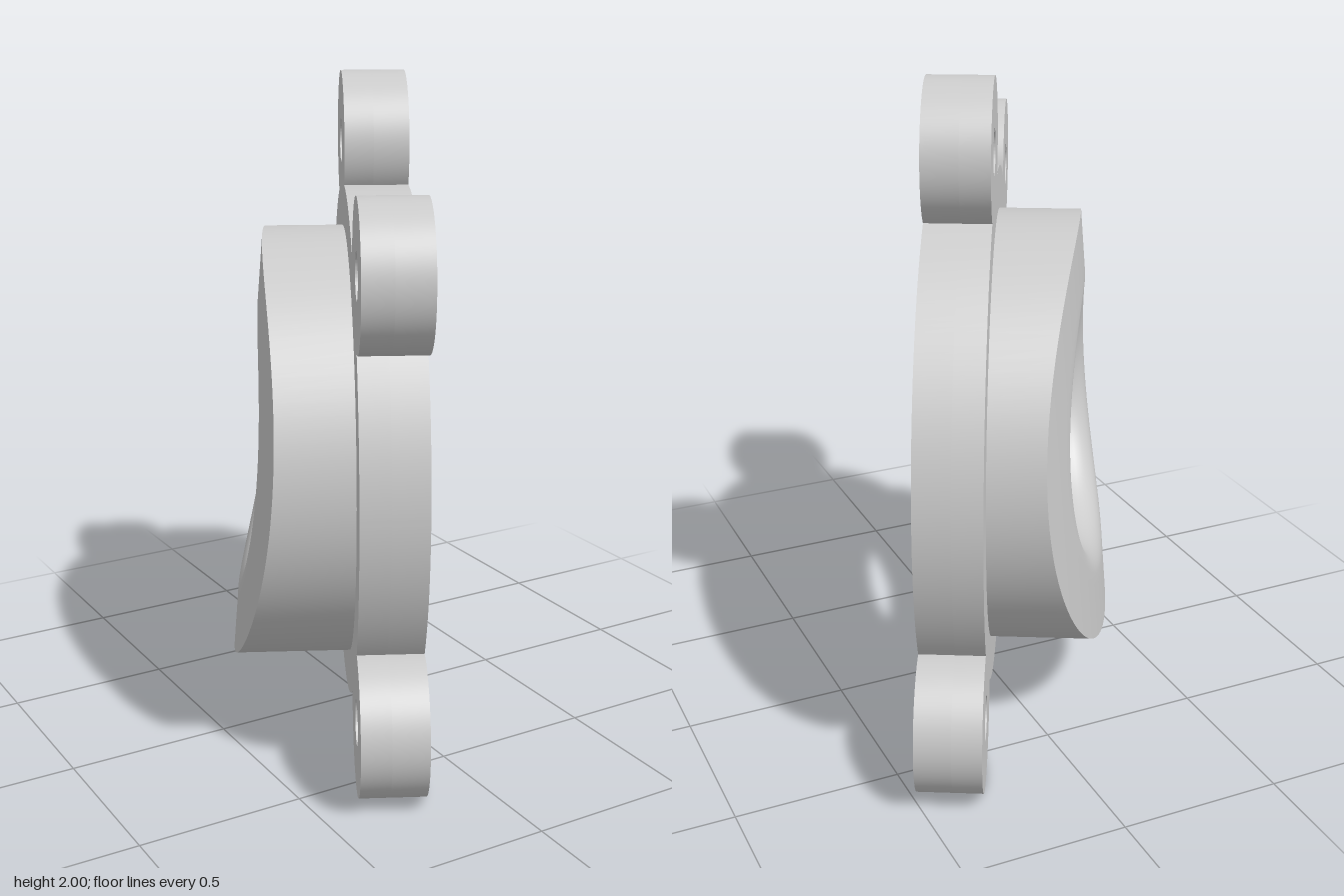
import * as THREE from 'three';
import { toCreasedNormals } from 'three/addons/utils/BufferGeometryUtils.js';

const RING_R = 0.798, LUG_R = 0.2145, BORE_R = 0.367, RECESS_R = 0.68, BOSS_R = 0.667;
const BACK = -0.048, FLOOR = 0.04, FRONT = 0.147; // depths along the flange axis
const LUGS = [[0.183, 0.911], [-0.655, 0.656], [-0.655, -0.662], [0.655, -0.662]];

const material = new THREE.MeshStandardMaterial({ color: 0xcccccc });

function mesh(name, geometry) {
  const m = new THREE.Mesh(toCreasedNormals(geometry, 0.5), material);
  m.name = name;
  return m;
}

// Round flange outline merged with the four lugs
function outline() {
  const s = new THREE.Shape();
  const lugs = LUGS.map(([x, y]) => {
    const D = Math.hypot(x, y);
    const half = Math.acos((RING_R ** 2 + D ** 2 - LUG_R ** 2) / (2 * RING_R * D));
    let angle = Math.atan2(y, x);
    if (angle < 0) angle += 2 * Math.PI;
    return { x, y, angle, half };
  });
  lugs.forEach((l, i) => {
    const a0 = l.angle - l.half, a1 = l.angle + l.half;
    const start = Math.atan2(RING_R * Math.sin(a0) - l.y, RING_R * Math.cos(a0) - l.x);
    const end = Math.atan2(RING_R * Math.sin(a1) - l.y, RING_R * Math.cos(a1) - l.x);
    s.absarc(l.x, l.y, LUG_R, start, end, false);
    const next = lugs[(i + 1) % lugs.length];
    s.absarc(0, 0, RING_R, a1, next.angle - next.half, false);
  });
  return s;
}

function circleHole(x, y, r) {
  return new THREE.Path().absarc(x, y, r, 0, Math.PI * 2, true);
}

function hexHole(x, y, r) {
  const pts = [];
  for (let i = 0; i < 6; i++) {
    const a = -i * Math.PI / 3;
    pts.push(new THREE.Vector2(x + r * Math.cos(a), y + r * Math.sin(a)));
  }
  return new THREE.Path(pts);
}

function layer(name, z0, z1, holes) {
  const s = outline();
  s.holes.push(...holes);
  const g = new THREE.ExtrudeGeometry(s, { depth: z1 - z0, bevelEnabled: false, curveSegments: 40 });
  g.translate(0, 0, z0);
  return mesh(name, g);
}

// Tilted, gently arched back surface of the boss
const backSurface = (x, y) => -0.351 + 0.22 * x * x + 0.047 * x + 0.0825 * y;

function boss() {
  const f = 0.1, p = [new THREE.Vector2(BORE_R, BACK)];
  // rounded bore mouth, heights measured from the back surface
  for (let i = 0; i <= 10; i++) {
    const a = i / 10 * Math.PI / 2;
    p.push(new THREE.Vector2(BORE_R + f * (1 - Math.cos(a)), f * (1 - Math.sin(a))));
  }
  for (let i = 1; i <= 6; i++) {
    p.push(new THREE.Vector2(BORE_R + f + (BOSS_R - BORE_R - f) * i / 6, 0));
  }
  p.push(new THREE.Vector2(BOSS_R, BACK));
  const g = new THREE.LatheGeometry(p, 112);
  g.rotateX(Math.PI / 2);
  // drape everything but the two base loops over the back surface
  const pos = g.attributes.position;
  for (let i = 0; i < pos.count; i++) {
    const j = i % p.length;
    if (j > 0 && j < p.length - 1) {
      pos.setZ(i, pos.getZ(i) + backSurface(pos.getX(i), pos.getY(i)));
    }
  }
  return mesh('backBoss', g);
}

export function createModel() {
  const flange = new THREE.Group();
  flange.name = 'flange';
  // front layer: wide recess and hexagonal nut pockets
  flange.add(layer('frontRim', FLOOR, FRONT,
    [circleHole(0, 0, RECESS_R), ...LUGS.map(([x, y]) => hexHole(x, y, 0.122))]));
  // back layer: bore and screw holes
  flange.add(layer('backPlate', BACK, FLOOR,
    [circleHole(0, 0, BORE_R), ...LUGS.map(([x, y]) => circleHole(x, y, 0.067))]));
  flange.add(boss());

  // stand the flange up, turned about the vertical axis
  const turn = 62.9 * Math.PI / 180;
  flange.rotation.y = turn;
  flange.position.set(0.03 * Math.cos(turn), 0.876, -0.03 * Math.sin(turn));

  const model = new THREE.Group();
  model.name = 'model';
  model.add(flange);
  return model;
}
